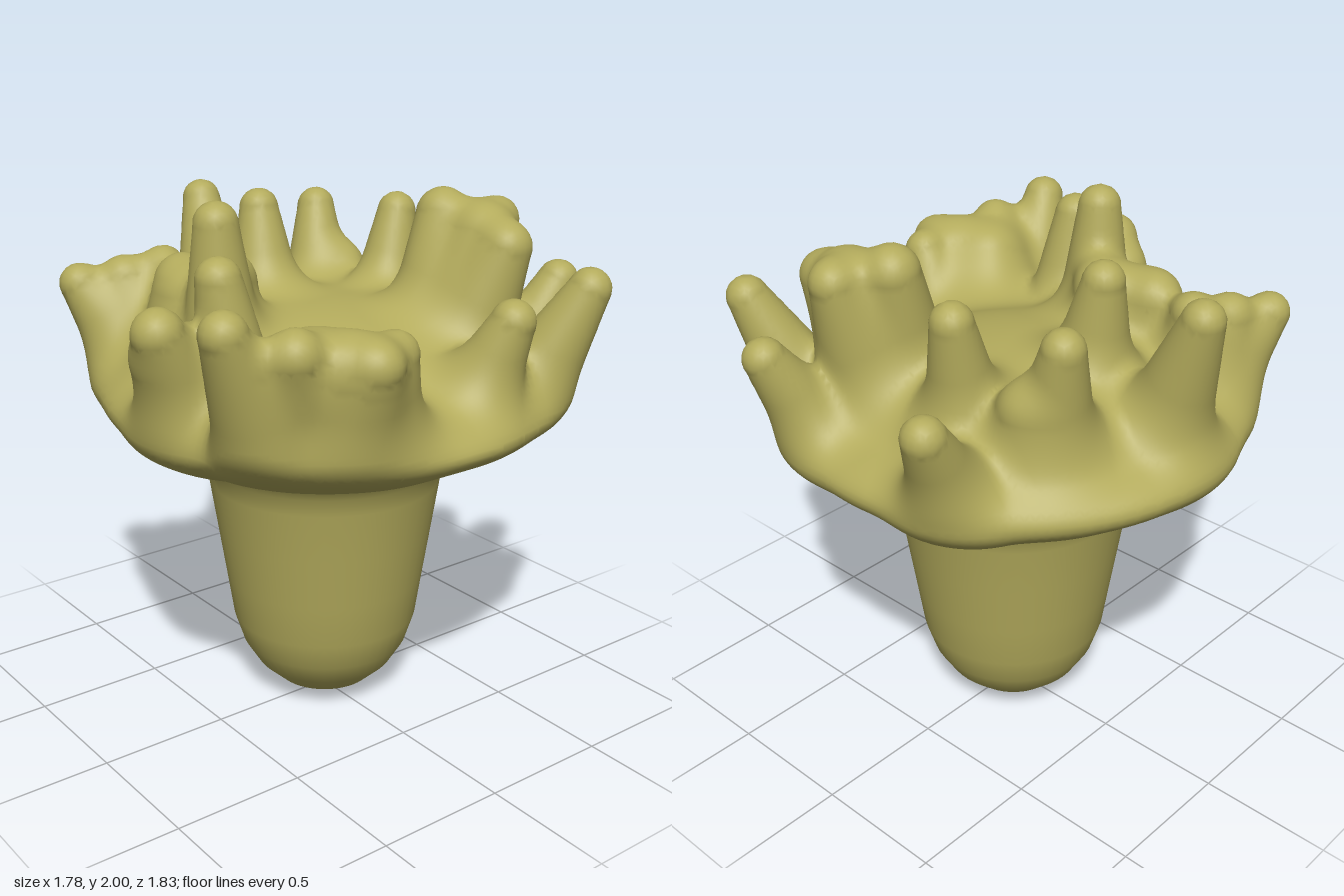
import * as THREE from 'three';

// Each limb: tip centre x, y, z, tip radius, root centre x, y, z, root radius
const FINGERS = [
  [-0.40, 1.61, -0.84, 0.077, -0.33, 1.24, -0.63, 0.155],
  [0.38, 1.62, -0.83, 0.077, 0.32, 1.26, -0.63, 0.155],
  [0.73, 1.68, -0.62, 0.078, 0.57, 1.26, -0.47, 0.165],
  [0.70, 1.61, -0.28, 0.08, 0.57, 1.26, -0.20, 0.16],
  [-0.58, 1.81, -0.40, 0.075, -0.45, 1.30, -0.32, 0.18],
  [-0.21, 1.83, -0.52, 0.075, -0.17, 1.32, -0.40, 0.165],
  [-0.82, 1.85, 0.00, 0.075, -0.61, 1.27, 0.06, 0.19],
  [-0.41, 1.87, 0.00, 0.075, -0.32, 1.36, 0.03, 0.185],
  [-0.66, 1.62, 0.65, 0.077, -0.52, 1.27, 0.47, 0.165],
  [-0.02, 1.92, 0.45, 0.08, -0.03, 1.38, 0.42, 0.16],
  [0.22, 1.79, 0.60, 0.08, 0.24, 1.32, 0.53, 0.15],
  [0.20, 1.64, 0.825, 0.09, 0.12, 1.26, 0.63, 0.17],
  [0.58, 1.72, 0.82, 0.08, 0.50, 1.27, 0.61, 0.17],
];
const LOBES = [
  // tall back lobe
  [0.15, 1.88, -0.44, 0.10, 0.20, 1.40, -0.34, 0.18],
  [0.26, 1.86, -0.61, 0.083, 0.25, 1.40, -0.45, 0.18],
  [0.45, 1.80, -0.48, 0.093, 0.33, 1.40, -0.39, 0.17],
  [0.31, 1.83, -0.49, 0.11, 0.27, 1.40, -0.40, 0.18],
  // shoulder beside a back left finger
  [-0.46, 1.58, -0.44, 0.09, -0.42, 1.30, -0.36, 0.14],
  // front left wall
  [-0.53, 1.67, 0.36, 0.08, -0.47, 1.30, 0.42, 0.16],
  [-0.33, 1.66, 0.40, 0.10, -0.30, 1.30, 0.45, 0.16],
  [-0.15, 1.68, 0.32, 0.105, -0.12, 1.30, 0.43, 0.16],
  [-0.24, 1.62, 0.43, 0.11, -0.21, 1.30, 0.46, 0.16],
  [-0.59, 1.64, 0.50, 0.08, -0.52, 1.27, 0.46, 0.16],
  // shoulder beside the foremost finger
  [0.11, 1.54, 0.77, 0.09, 0.08, 1.26, 0.62, 0.16],
  // front right wall
  [0.67, 1.64, 0.62, 0.09, 0.50, 1.27, 0.45, 0.20],
  [0.81, 1.60, 0.40, 0.08, 0.60, 1.27, 0.35, 0.20],
  [0.73, 1.60, 0.27, 0.08, 0.60, 1.27, 0.25, 0.17],
  [0.58, 1.55, 0.48, 0.14, 0.45, 1.27, 0.35, 0.20],
  [0.71, 1.58, 0.43, 0.11, 0.55, 1.27, 0.40, 0.20],
];
const LIMBS = [...FINGERS, ...LOBES];

function smoothMin(a, b, k) {
  const h = Math.max(k - Math.abs(a - b), 0) / k;
  return Math.min(a, b) - h * h * k * 0.25;
}

// Approximate distance to an ellipsoid
function ellipsoid(x, y, z, rx, ry, rz) {
  const k0 = Math.hypot(x / rx, y / ry, z / rz);
  const k1 = Math.hypot(x / rx / rx, y / ry / ry, z / rz / rz);
  return k1 < 1e-6 ? -ry : k0 * (k0 - 1) / k1;
}

// Distance to a capsule that tapers from root to tip
function taper(x, y, z, [ax, ay, az, ra, bx, by, bz, rb]) {
  const dx = bx - ax, dy = by - ay, dz = bz - az;
  const t = ((x - ax) * dx + (y - ay) * dy + (z - az) * dz) / (dx * dx + dy * dy + dz * dz);
  const h = Math.min(1, Math.max(0, t));
  return Math.hypot(x - ax - h * dx, y - ay - h * dy, z - az - h * dz) - ra - (rb - ra) * h;
}

// The crown: a tilted dish, a raised middle and the limbs, blended and trimmed below
function crownField(x, y, z) {
  let dish = ellipsoid(x + 0.02, y - 1.235 + 0.03 * x, z + 0.01, 0.86, 0.205, 0.82);
  dish = smoothMin(dish, ellipsoid(x + 0.08, y - 1.35, z + 0.05, 0.57, 0.23, 0.54), 0.12);
  let limbs = 1e3;
  for (const limb of LIMBS) limbs = smoothMin(limbs, taper(x, y, z, limb), 0.09);
  const body = smoothMin(dish, limbs, 0.16);
  const out = Math.max(0, Math.hypot(x + 0.015, z + 0.015) - 0.5) / 0.38;
  const underside = 1.04 + 0.15 * out ** 1.6;
  return -smoothMin(-body, y - underside, 0.06);
}

function gradient(f, [x, y, z]) {
  const e = 0.004;
  const g = [f(x + e, y, z) - f(x - e, y, z), f(x, y + e, z) - f(x, y - e, z), f(x, y, z + e) - f(x, y, z - e)];
  return g.map((c) => c / (2 * e));
}

// Skins a field with a net of quads, one vertex per grid cell on the surface
function skin(f, min, max, step) {
  const n = min.map((m, a) => Math.ceil((max[a] - m) / step) + 1);
  const stride = [1, n[0], n[0] * n[1]];
  const value = new Float32Array(n[0] * n[1] * n[2]);
  const cell = new Int32Array(value.length).fill(-1);
  const position = [], normal = [], index = [];
  const eachPoint = (size, visit) => {
    for (let k = 0; k < size[2]; k++)
      for (let j = 0; j < size[1]; j++)
        for (let i = 0; i < size[0]; i++) visit([i, j, k], i + j * stride[1] + k * stride[2]);
  };
  eachPoint(n, (p, id) => {
    value[id] = f(min[0] + p[0] * step, min[1] + p[1] * step, min[2] + p[2] * step);
  });

  // Place a vertex at the mean edge crossing, then pull it onto the surface
  eachPoint(n.map((c) => c - 1), (p, id) => {
    const sum = [0, 0, 0];
    let count = 0;
    for (let c = 0; c < 8; c++) {
      const bits = [c & 1, (c >> 1) & 1, c >> 2];
      const from = id + bits[0] + bits[1] * stride[1] + bits[2] * stride[2];
      for (let a = 0; a < 3; a++) {
        if (bits[a]) continue;
        const v0 = value[from], v1 = value[from + stride[a]];
        if ((v0 < 0) === (v1 < 0)) continue;
        for (let b = 0; b < 3; b++) sum[b] += bits[b] + (a === b ? v0 / (v0 - v1) : 0);
        count++;
      }
    }
    if (!count) return;
    let q = sum.map((s, a) => min[a] + (p[a] + s / count) * step);
    const g = gradient(f, q);
    const len2 = Math.max(0.1, g[0] * g[0] + g[1] * g[1] + g[2] * g[2]);
    const shift = Math.max(-step / 2, Math.min(step / 2, f(...q) / len2));
    q = q.map((c, a) => c - g[a] * shift);
    const m = gradient(f, q), length = Math.hypot(...m) || 1;
    cell[id] = position.length / 3;
    position.push(...q);
    normal.push(...m.map((c) => c / length));
  });

  // Join the four cells round every crossed grid edge
  eachPoint(n.map((c) => c - 1), (p, id) => {
    for (let a = 0; a < 3; a++) {
      const v = (a + 1) % 3, w = (a + 2) % 3;
      const inside = value[id] < 0;
      if (!p[v] || !p[w] || inside === (value[id + stride[a]] < 0)) continue;
      const A = cell[id - stride[v] - stride[w]], B = cell[id - stride[w]];
      const C = cell[id], D = cell[id - stride[v]];
      if (inside) index.push(A, B, C, A, C, D);
      else index.push(A, C, B, A, D, C);
    }
  });

  const geometry = new THREE.BufferGeometry();
  geometry.setAttribute('position', new THREE.Float32BufferAttribute(position, 3));
  geometry.setAttribute('normal', new THREE.Float32BufferAttribute(normal, 3));
  geometry.setIndex(index);
  return geometry;
}

export function createModel() {
  const model = new THREE.Group();
  model.name = 'softCoral';
  const olive = new THREE.MeshStandardMaterial({ color: 0xb3ab5c });
  olive.name = 'olive';

  // Rounded stalk, flaring into the crown
  const profile = [[0, 0], [0.09, 0.012], [0.19, 0.055], [0.27, 0.13], [0.325, 0.22], [0.36, 0.33],
    [0.385, 0.5], [0.415, 0.7], [0.445, 0.9], [0.462, 0.97], [0.5, 1.03], [0.55, 1.06], [0.57, 1.1]];
  const stalk = new THREE.Mesh(
    new THREE.LatheGeometry(profile.map(([r, y]) => new THREE.Vector2(r, y)), 48), olive);
  stalk.name = 'stalk';
  stalk.position.set(-0.015, 0, -0.015);

  // Crown with its fingers and lobes
  const crown = new THREE.Mesh(skin(crownField, [-0.97, 0.95, -0.97], [0.97, 2.06, 0.97], 0.025), olive);
  crown.name = 'crown';

  model.add(stalk, crown);
  return model;
}
